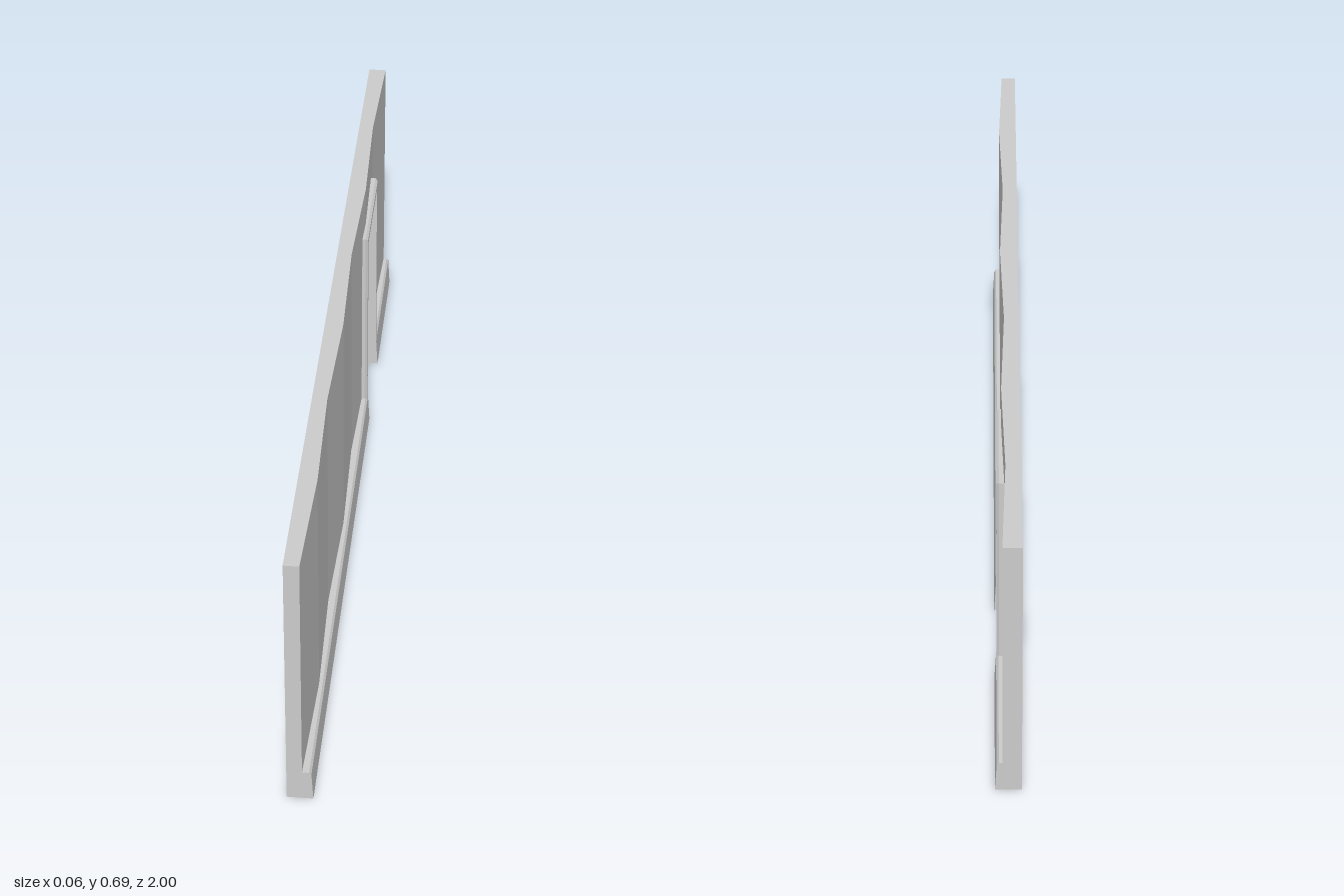
import * as THREE from 'three';

const BACK = -0.03, TOP = 0.685;
const DOOR = { z0: -0.62, z1: -0.38, top: 0.56 };
const SEGMENTS = 14;

const grey = () => new THREE.MeshStandardMaterial({ color: 0xcccccc, flatShading: true });

// Quads of four corners, counter-clockwise seen from outside, as a faceted mesh
function quadMesh(name, quads) {
  const pos = [];
  for (const [a, b, c, d] of quads) pos.push(...a, ...b, ...c, ...a, ...c, ...d);
  const geo = new THREE.BufferGeometry();
  geo.setAttribute('position', new THREE.Float32BufferAttribute(pos, 3));
  geo.computeVertexNormals();
  const mesh = new THREE.Mesh(geo, grey());
  mesh.name = name;
  return mesh;
}

// Uneven plaster: depth of the wall face, straight between even stations
function faceX(z) {
  const at = i => 0.009 - 0.004 * Math.cos(i * Math.PI / 2);
  const t = (1 - z) / 2 * SEGMENTS, i = Math.floor(t + 1e-9);
  return THREE.MathUtils.lerp(at(i), at(i + 1), t - i);
}

function makeWall() {
  const stations = [DOOR.z0, DOOR.z1];
  for (let i = 0; i <= SEGMENTS; i++) stations.push(1 - 2 * i / SEGMENTS);
  stations.sort((a, b) => a - b);
  const quads = [];
  for (let i = 0; i + 1 < stations.length; i++) {
    const a = stations[i], b = stations[i + 1], xa = faceX(a), xb = faceX(b);
    const mid = (a + b) / 2;
    const low = mid > DOOR.z0 && mid < DOOR.z1 ? DOOR.top : 0;
    quads.push(
      [[xb, low, b], [xa, low, a], [xa, TOP, a], [xb, TOP, b]],
      [[BACK, low, a], [BACK, low, b], [BACK, TOP, b], [BACK, TOP, a]],
      [[BACK, TOP, a], [BACK, TOP, b], [xb, TOP, b], [xa, TOP, a]],
      [[BACK, low, a], [xa, low, a], [xb, low, b], [BACK, low, b]]
    );
  }
  // Wall ends and door reveals
  for (const [z, h, dir] of [[1, TOP, 1], [-1, TOP, -1], [DOOR.z0, DOOR.top, 1], [DOOR.z1, DOOR.top, -1]]) {
    const x = faceX(z);
    const q = [[BACK, 0, z], [x, 0, z], [x, h, z], [BACK, h, z]];
    quads.push(dir > 0 ? q : q.reverse());
  }
  return quadMesh('wall', quads);
}

// Skirting with a leaning face and a small chamfer on top
function makeBaseboard(name, z0, z1) {
  const profile = new THREE.Shape([[0, 0], [0.03, 0], [0.026, 0.074], [0.021, 0.08], [0, 0.08]]
    .map(p => new THREE.Vector2(...p)));
  const geo = new THREE.ExtrudeGeometry(profile, { depth: z1 - z0, bevelEnabled: false });
  const mesh = new THREE.Mesh(geo, grey());
  mesh.position.z = z0;
  mesh.name = name;
  return mesh;
}

// Door casing: a chamfered profile (distance from opening, x) mitred round the doorway
function makeCasing() {
  const profile = [[0, 0], [0, 0.025], [0.015, 0.025], [0.02, 0.019], [0.02, 0]];
  const corners = [
    ([o, x]) => [x, 0.076, DOOR.z1 + o],
    ([o, x]) => [x, DOOR.top + o, DOOR.z1 + o],
    ([o, x]) => [x, DOOR.top + o, DOOR.z0 - o],
    ([o, x]) => [x, 0.076, DOOR.z0 - o]
  ];
  const quads = [];
  for (let c = 0; c < 3; c++) {
    for (let p = 0; p < profile.length - 1; p++) {
      const m = corners[c], n = corners[c + 1], a = profile[p], b = profile[p + 1];
      quads.push([m(a), n(a), n(b), m(b)]);
    }
  }
  const mesh = quadMesh('doorCasing', quads);
  mesh.material.side = THREE.DoubleSide;
  return mesh;
}

export function createModel() {
  const group = new THREE.Group();
  group.name = 'wallWithDoorway';
  group.add(
    makeWall(),
    makeBaseboard('longBaseboard', DOOR.z1, 1),
    makeBaseboard('shortBaseboard', -1, DOOR.z0),
    makeCasing()
  );
  return group;
}
